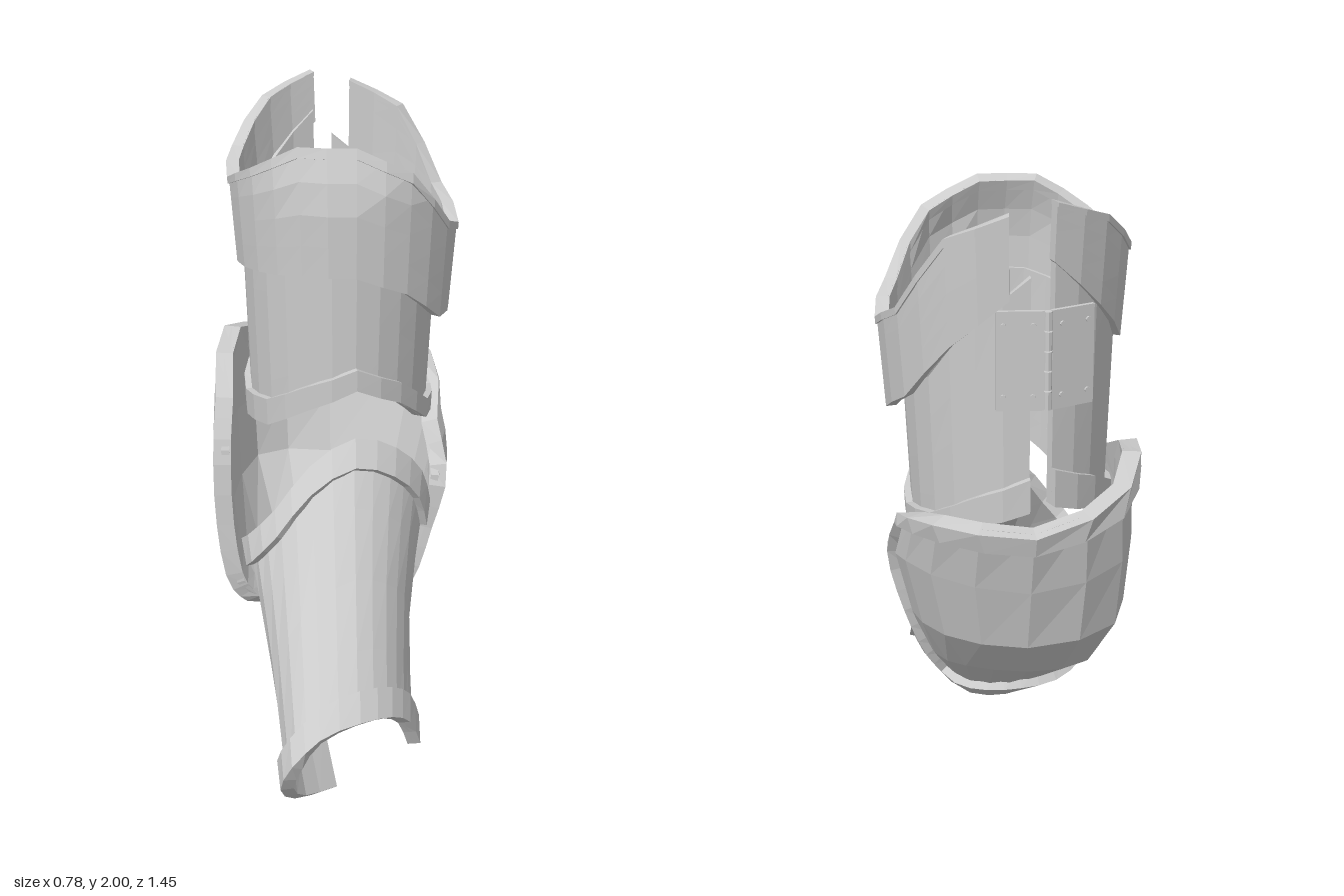
import * as THREE from 'three';

const material = new THREE.MeshStandardMaterial({ color: 0xcccccc, flatShading: true });
const lerp = THREE.MathUtils.lerp;
const clamp = (x) => Math.min(1, Math.max(0, x));

// Surface through a few cross-section curves, top to bottom.
function loft(rows) {
  const curves = rows.map((r) => new THREE.CatmullRomCurve3(r.map((p) => new THREE.Vector3(...p))));
  return (u, v) => new THREE.CatmullRomCurve3(curves.map((c) => c.getPoint(clamp(u)))).getPoint(clamp(v));
}

// Value from a table spread evenly over u = 0..1.
function sample(table, u) {
  const f = clamp(u) * (table.length - 1);
  const i = Math.min(table.length - 2, Math.floor(f));
  return lerp(table[i], table[i + 1], f - i);
}

// Sheet of metal with thickness, laid on a surface; map picks the region covered.
function plate(name, surface, nu, nv, thick, lift = 0, map = (u, v) => [u, v]) {
  const pos = [], idx = [], e = 0.02;
  const count = (nu + 1) * (nv + 1);
  const outer = [], inner = [];
  for (let j = 0; j <= nv; j++) {
    for (let i = 0; i <= nu; i++) {
      const [s, t] = map(i / nu, j / nv);
      const p = surface(s, t);
      const du = surface(clamp(s + e), t).sub(surface(clamp(s - e), t));
      const dv = surface(s, clamp(t + e)).sub(surface(s, clamp(t - e)));
      const n = du.cross(dv).normalize();
      outer.push(p.clone().addScaledVector(n, lift));
      inner.push(p.clone().addScaledVector(n, lift - thick));
    }
  }
  [...outer, ...inner].forEach((p) => pos.push(p.x, p.y, p.z));
  const quad = (a, b, c, d) => idx.push(a, b, c, a, c, d);
  const at = (i, j) => j * (nu + 1) + i;
  for (let j = 0; j < nv; j++) {
    for (let i = 0; i < nu; i++) {
      const [a, b, c, d] = [at(i, j), at(i + 1, j), at(i + 1, j + 1), at(i, j + 1)];
      quad(a, b, c, d);
      quad(d + count, c + count, b + count, a + count);
    }
  }
  // edges
  const edge = [];
  for (let i = 0; i < nu; i++) edge.push(at(i, 0));
  for (let j = 0; j < nv; j++) edge.push(at(nu, j));
  for (let i = nu; i > 0; i--) edge.push(at(i, nv));
  for (let j = nv; j > 0; j--) edge.push(at(0, j));
  edge.forEach((a, k) => {
    const b = edge[(k + 1) % edge.length];
    quad(b, a, a + count, b + count);
  });
  const g = new THREE.BufferGeometry();
  g.setAttribute('position', new THREE.Float32BufferAttribute(pos, 3));
  g.setIndex(idx);
  g.computeVertexNormals();
  const mesh = new THREE.Mesh(g, material);
  mesh.name = name;
  return mesh;
}

const strip = (t0, t1) => (u, v) => [u, lerp(t0, t1, v)];

// Frame running round the border of a surface, w wide.
const border = (wu, wv) => (u, v) => {
  const f = (u * 4) % 4, k = Math.min(3, Math.floor(f)), r = f - k;
  const a = [[0, 0], [1, 0], [1, 1], [0, 1]];
  const p = a[k], q = a[(k + 1) % 4];
  const inset = (x, w) => lerp(x, lerp(w, 1 - w, x), v);
  return [inset(lerp(p[0], q[0], r), wu), inset(lerp(p[1], q[1], r), wv)];
};

// Heights of the upper arm edges, from the back gap round by +x, front and -x.
const bandTop = [1.97, 1.9, 1.68, 1.6, 1.66, 1.84, 1.92, 1.92, 1.84, 1.77, 1.82, 1.94, 2.0];
const bandLow = [1.74, 1.6, 1.42, 1.33, 1.35, 1.47, 1.54, 1.54, 1.52, 1.5, 1.55, 1.69, 1.84];
const sleeveLow = [1.13, 1.08, 1.01, 0.98, 1.0, 1.11, 1.18, 1.11, 1.02, 0.99, 1.02, 1.09, 1.14];

const ring = (u, start, y, cx, rx, rz) => {
  const a = THREE.MathUtils.degToRad(lerp(start, 345, u));
  return new THREE.Vector3(cx + rx * Math.sin(a), y, -0.29 - rz * Math.cos(a));
};
const sleeve = (u, v) => {
  const top = lerp(sample(bandLow, u), sample(bandTop, u), 0.25);
  return ring(u, -2, lerp(top, sample(sleeveLow, u), v), 0.015, lerp(0.3, 0.28, v), 0.34);
};
// The band flares upward, then leans in at the top of the front.
const band = (u, v) => {
  const y = lerp(sample(bandTop, u), sample(bandLow, u), v);
  const lean = 0.4 * Math.max(0, y - 1.78) * Math.sin(Math.PI * u) ** 2;
  return ring(u, 6, y, 0.03, lerp(0.355, 0.335, v), lerp(0.36, 0.357, v) - lean);
};

function upperArm() {
  const g = new THREE.Group();
  g.name = 'upperArm';
  g.add(
    plate('upperArmSleeve', sleeve, 24, 4, 0.025),
    plate('upperArmLowerRim', sleeve, 24, 1, 0.045, 0.02, strip(0.85, 1)),
    plate('upperArmBand', band, 24, 4, 0.03),
    plate('upperArmTopEdge', band, 24, 1, 0.04, 0.006, strip(0, 0.08)),
  );
  return g;
}

// Hinge across the back gap: two leaves with screws and a barrel.
function hinge() {
  const g = new THREE.Group();
  g.name = 'hinge';
  const add = (parent, name, geo, x, y, z) => {
    const m = new THREE.Mesh(geo, material);
    m.name = name;
    m.position.set(x, y, z);
    parent.add(m);
    return m;
  };
  for (let k = -2; k <= 2; k++) {
    add(g, 'hingeBarrel', new THREE.CylinderGeometry(0.012, 0.012, 0.052, 8), 0, k * 0.056, 0);
  }
  for (const s of [-1, 1]) {
    const leaf = new THREE.Group();
    leaf.name = 'hingeLeaf';
    leaf.rotation.y = s < 0 ? 0.36 : -0.1;
    add(leaf, 'leafPlate', new THREE.BoxGeometry(0.13, 0.28, 0.012), s * 0.075, 0, 0);
    for (const [x, y] of [[0.04, 0.1], [0.12, 0.1], [0.12, -0.1], [0.04, -0.1]]) {
      add(leaf, 'screw', new THREE.CylinderGeometry(0.008, 0.008, 0.008, 8), s * x, y, -0.008).rotation.x = Math.PI / 2;
    }
    g.add(leaf);
  }
  g.position.set(-0.04, 1.57, -0.641);
  return g;
}

// Elbow guard sections, from -x round the back to +x.
const elbow = loft([
  [[-0.35, 1.1, -0.09], [-0.34, 1.21, -0.38], [-0.24, 1.15, -0.61], [0, 1.09, -0.7], [0.23, 1.11, -0.63], [0.32, 1.07, -0.47], [0.31, 0.95, -0.23]],
  [[-0.36, 0.95, -0.02], [-0.35, 0.93, -0.35], [-0.25, 0.91, -0.58], [0, 0.88, -0.645], [0.24, 0.9, -0.55], [0.34, 0.88, -0.35], [0.335, 0.8, -0.13]],
  [[-0.355, 0.7, 0], [-0.34, 0.7, -0.31], [-0.24, 0.7, -0.55], [0, 0.68, -0.59], [0.2, 0.68, -0.5], [0.29, 0.66, -0.32], [0.29, 0.62, -0.12]],
  [[-0.32, 0.49, 0], [-0.29, 0.51, -0.25], [-0.19, 0.52, -0.42], [-0.02, 0.53, -0.46], [0.13, 0.52, -0.39], [0.21, 0.49, -0.27], [0.24, 0.46, -0.1]],
  [[-0.27, 0.42, -0.02], [-0.2, 0.37, -0.11], [-0.12, 0.34, -0.15], [-0.04, 0.33, -0.17], [0.04, 0.33, -0.19], [0.12, 0.34, -0.17], [0.19, 0.38, -0.09]],
]);

// Forearm sections, from +x over the front and round under -x.
const forearm = loft([
  [[0.28, 0.75, -0.06], [0.25, 0.87, -0.02], [0.17, 0.97, 0.03], [0.05, 1.02, 0.07], [-0.08, 0.95, 0.12], [-0.18, 0.82, 0.15], [-0.26, 0.72, 0.11], [-0.28, 0.66, 0], [-0.19, 0.62, -0.12]],
  [[0.22, 0.47, 0.2], [0.2, 0.57, 0.25], [0.14, 0.65, 0.31], [0.045, 0.69, 0.355], [-0.075, 0.64, 0.4], [-0.16, 0.54, 0.43], [-0.21, 0.44, 0.39], [-0.2, 0.36, 0.29], [-0.11, 0.32, 0.17]],
  [[0.22, 0.18, 0.47], [0.185, 0.29, 0.52], [0.13, 0.35, 0.585], [0.04, 0.37, 0.65], [-0.07, 0.34, 0.69], [-0.14, 0.27, 0.72], [-0.17, 0.17, 0.68], [-0.13, 0.07, 0.58], [-0.03, 0.015, 0.46]],
]);

export function createModel() {
  const model = new THREE.Group();
  model.name = 'armArmour';
  const elbowGuard = new THREE.Group();
  elbowGuard.name = 'elbowGuard';
  elbowGuard.add(
    plate('elbowShell', elbow, 10, 4, 0.025),
    plate('elbowRim', elbow, 40, 1, 0.055, 0.025, border(0.07, 0.07)),
  );
  const forearmGuard = new THREE.Group();
  forearmGuard.name = 'forearmGuard';
  forearmGuard.add(
    plate('forearmShell', forearm, 16, 4, 0.02),
    plate('forearmTopBand', forearm, 16, 1, 0.04, 0.022, strip(0, 0.11)),
    plate('forearmCuff', forearm, 16, 1, 0.04, 0.02, strip(0.89, 1)),
  );
  model.add(upperArm(), hinge(), elbowGuard, forearmGuard);
  return model;
}
